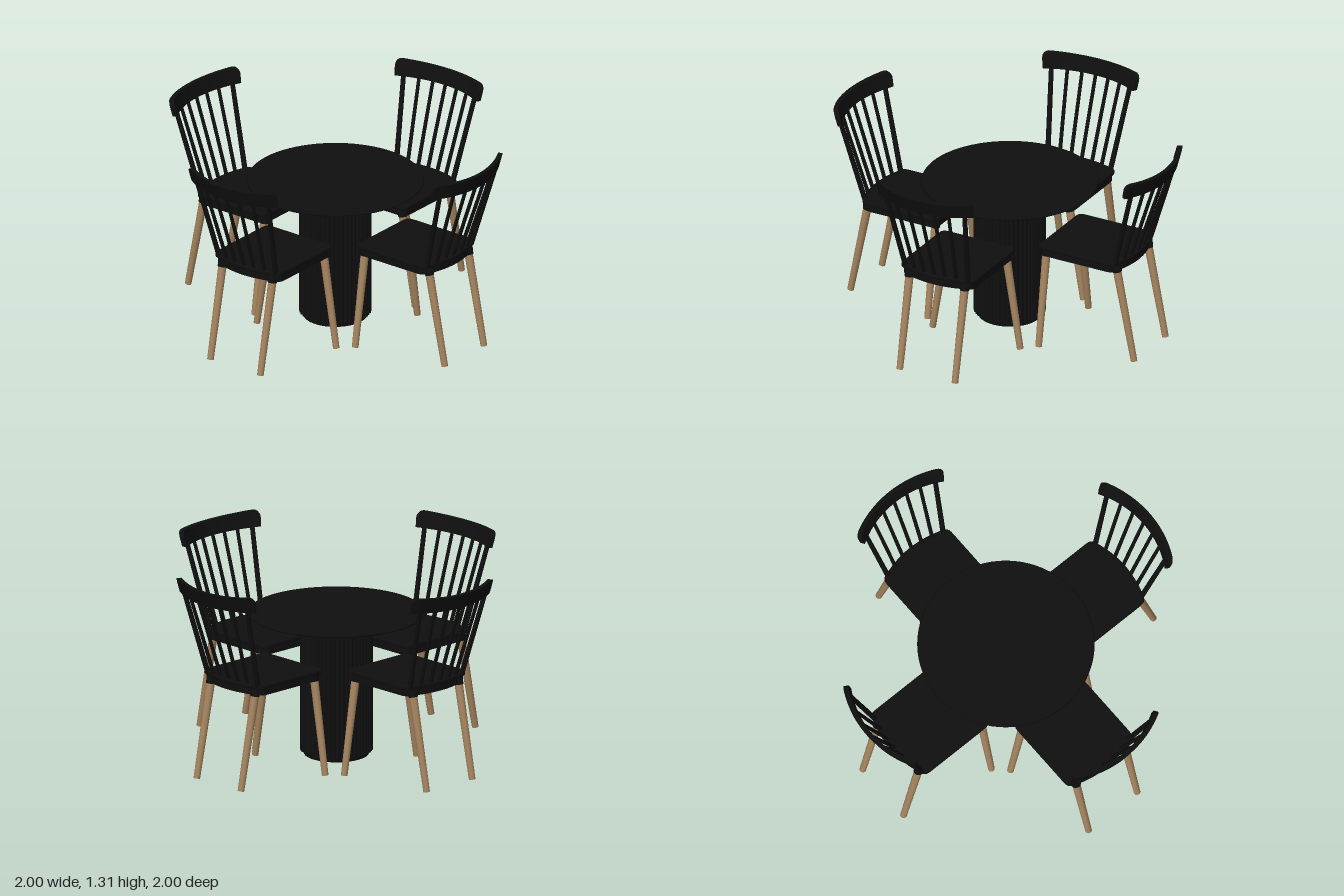
import * as THREE from 'three';

const mat = (name, color, extra = {}) => {
  const m = new THREE.MeshStandardMaterial({ color, ...extra });
  m.name = name;
  return m;
};

export function createModel() {
  const black = mat('black lacquer', 0x0f0f0f);
  const wood = mat('natural wood', 0xa5845f);

  const add = (parent, name, geometry, material) => {
    const mesh = new THREE.Mesh(geometry, material);
    mesh.name = name;
    parent.add(mesh);
    return mesh;
  };

  // Round bar between two points
  const rod = (parent, name, a, b, ra, rb, material, sides = 14) => {
    const from = new THREE.Vector3(...a), to = new THREE.Vector3(...b);
    const dir = to.clone().sub(from);
    const mesh = add(parent, name, new THREE.CylinderGeometry(rb, ra, dir.length(), sides), material);
    mesh.position.copy(from).add(to).multiplyScalar(0.5);
    mesh.quaternion.setFromUnitVectors(new THREE.Vector3(0, 1, 0), dir.normalize());
    return mesh;
  };

  // Seat outline: straight front and sides, bowed back, rounded corners
  const seatOutline = (inset, Type = THREE.Shape) => {
    const w = 0.268 - inset, f = 0.365 + inset, b = 0.915 - inset, c = 0.045;
    const s = new Type();
    s.moveTo(-w + c, f);
    s.lineTo(w - c, f);
    s.quadraticCurveTo(w, f, w, f + c);
    s.lineTo(w, b - c);
    s.quadraticCurveTo(w, b, w - c, b + 0.008);
    s.quadraticCurveTo(0, b + 0.085, -w + c, b + 0.008);
    s.quadraticCurveTo(-w, b, -w, b - c);
    s.lineTo(-w, f + c);
    s.quadraticCurveTo(-w, f, -w + c, f);
    return s;
  };

  // Horizontal slab from an outline, hanging down from height top
  const slab = (shape, top, depth, bevel = 0) => {
    const g = new THREE.ExtrudeGeometry(shape, {
      depth: depth - 2 * bevel, curveSegments: 14, bevelEnabled: bevel > 0,
      bevelSize: bevel, bevelThickness: bevel, bevelOffset: -bevel, bevelSegments: 2,
    });
    g.rotateX(Math.PI / 2);
    g.translate(0, top - bevel, 0);
    return g;
  };

  // Curved, leaning top rail: a box bent round an arc, top corners rounded
  const railGeometry = () => {
    const g = new THREE.BoxGeometry(2, 1, 1, 40, 4, 1);
    const p = g.attributes.position;
    const half = 0.565, radius = 0.625, corner = 0.045;
    for (let i = 0; i < p.count; i++) {
      const s = Math.sin(p.getX(i) * Math.PI / 2);
      const a = s * half;
      const d = Math.min(corner, (1 - Math.abs(s)) * half * radius);
      const drop = corner - Math.sqrt(corner * corner - (corner - d) ** 2);
      const low = 1.205 + 0.008 * s * s;
      const high = 1.298 + 0.018 * s * s - drop;
      const y = THREE.MathUtils.lerp(low, high, p.getY(i) + 0.5);
      const r = radius + p.getZ(i) * 0.03 + (y - 1.21) * 0.26;
      p.setXYZ(i, r * Math.sin(a), y, 0.5 + r * Math.cos(a));
    }
    g.computeVertexNormals();
    return g;
  };

  // Chair: local +z points to the backrest
  const buildChair = () => {
    const chair = new THREE.Group();
    add(chair, 'seat', slab(seatOutline(0), 0.69, 0.026, 0.006), black);
    const frame = seatOutline(0.012);
    frame.holes.push(seatOutline(0.045, THREE.Path));
    add(chair, 'seatFrame', slab(frame, 0.666, 0.046), black);

    for (const side of [-1, 1]) {
      // Front legs splay sideways, back legs splay backwards
      const legs = [
        ['frontLeg', [side * 0.318, 0.01, 0.403], [side * 0.215, 0.645, 0.403]],
        ['backLeg', [side * 0.2, 0.01, 1.029], [side * 0.2, 0.645, 0.9]],
      ];
      for (const [name, foot, top] of legs) {
        rod(chair, name, foot, top, 0.021, 0.027, wood, 18);
        const low = foot.map((v, i) => THREE.MathUtils.lerp(v, top[i], 0.945));
        const high = foot.map((v, i) => THREE.MathUtils.lerp(v, top[i], 1.03));
        rod(chair, name + 'Collar', low, high, 0.03, 0.033, black, 18);
      }
    }

    // Seven spindles fanning out from the seat to the rail
    for (let i = -3; i <= 3; i++) {
      const t = i / 3, xt = 0.286 * t;
      const r = Math.abs(i) === 3 ? 0.017 : 0.0125;
      const zt = 0.5 + Math.sqrt(0.626 ** 2 - xt * xt);
      rod(chair, 'spindle', [0.226 * t, 0.67, 0.935 - 0.03 * t * t], [xt, 1.225, zt], r, r * 0.9, black, 12);
    }
    add(chair, 'topRail', railGeometry(), black);
    return chair;
  };

  const model = new THREE.Group();
  model.name = 'diningSet';
  for (let k = 0; k < 4; k++) {
    const chair = buildChair();
    chair.name = 'chair' + (k + 1);
    chair.rotation.y = Math.PI / 4 + k * Math.PI / 2;
    model.add(chair);
  }

  // Table
  const table = new THREE.Group();
  table.name = 'table';
  table.position.set(-0.003, 0, -0.013);
  model.add(table);

  const v2 = (x, y) => new THREE.Vector2(x, y);
  // Thin round top with an undercut edge
  const topProfile = [v2(0, 0.903), v2(0.24, 0.903), v2(0.4, 0.913), v2(0.55, 0.929), v2(0.56, 0.935), v2(0.556, 0.941), v2(0.556, 0.941), v2(0, 0.941)];
  add(table, 'tableTop', new THREE.LatheGeometry(topProfile, 72), black);

  // Reeded column
  const reeds = 48, steps = 6, outline = [];
  for (let i = 0; i < reeds * steps; i++) {
    const a = (i / (reeds * steps)) * Math.PI * 2;
    const r = 0.219 + 0.011 * Math.abs(Math.sin(a * reeds / 2));
    outline.push(v2(r * Math.cos(a), r * Math.sin(a)));
  }
  add(table, 'column', slab(new THREE.Shape(outline), 0.906, 0.868), black);

  // Recessed plinth with rounded lower edge
  const plinthProfile = [v2(0, 0.004), v2(0.19, 0.004), v2(0.203, 0.009), v2(0.21, 0.02), v2(0.21, 0.045)];
  add(table, 'plinth', new THREE.LatheGeometry(plinthProfile, 56), black);

  // Bare wood square under the plinth
  add(table, 'basePlate', new THREE.BoxGeometry(0.11, 0.004, 0.11), wood).position.y = 0.002;

  return model;
}
